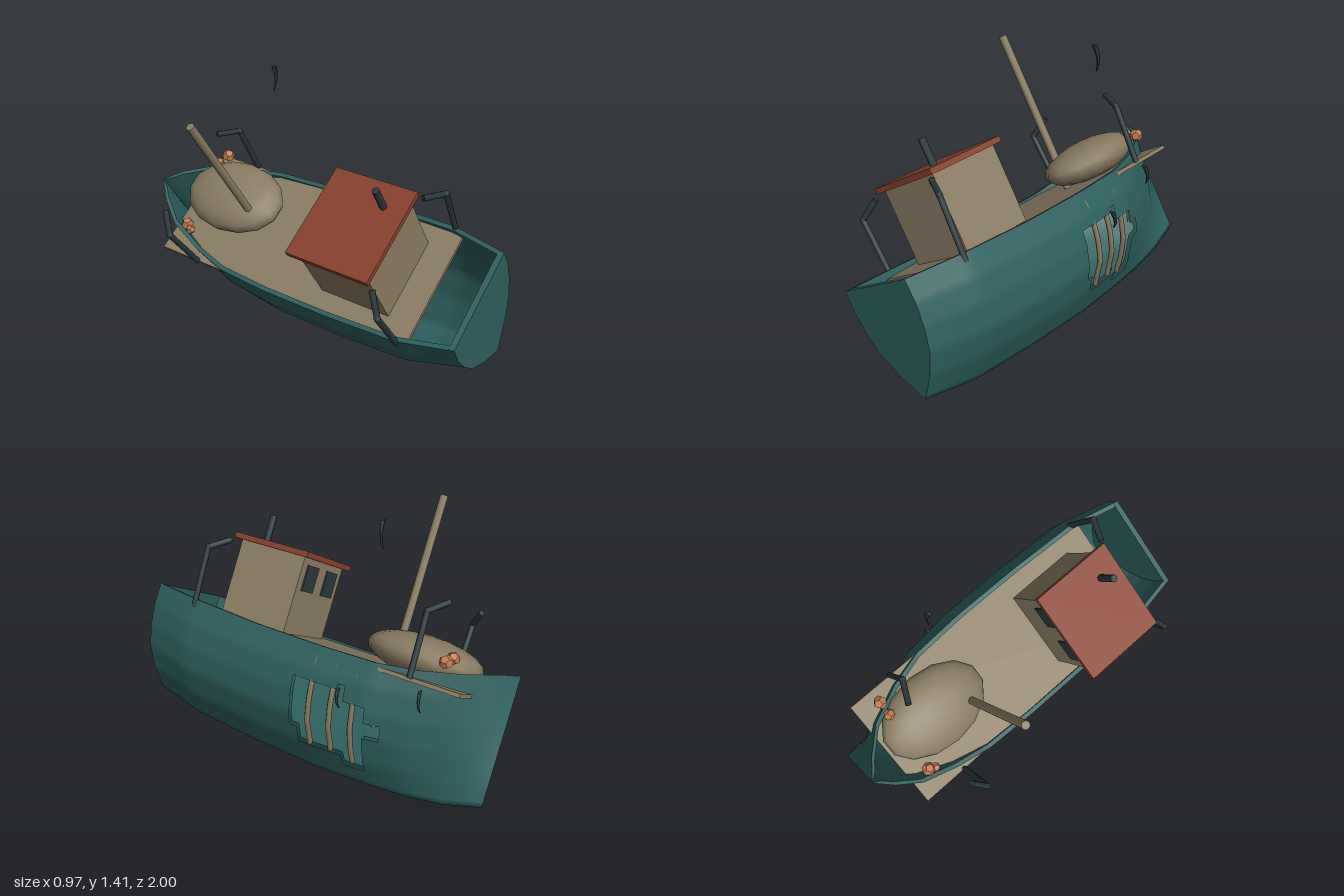
import * as THREE from 'three';

const mat = (name, color, side = THREE.FrontSide) => {
  const m = new THREE.MeshStandardMaterial({ color, side });
  m.name = name;
  return m;
};

// hull stations: z, half width, keel height, gunwale height, bow sharpness
const STATIONS = [
  [-1, 0.004, -0.092, 0.572, 1], [-0.92, 0.1, -0.115, 0.55, 1], [-0.8, 0.205, -0.15, 0.51, 0.9],
  [-0.6, 0.285, -0.18, 0.465, 0.5], [-0.4, 0.335, -0.195, 0.44, 0.2], [-0.1, 0.35, -0.207, 0.435, 0],
  [0.3, 0.35, -0.195, 0.44, 0], [0.7, 0.34, -0.17, 0.46, 0], [1, 0.278, -0.107, 0.478, 0.15],
];
// half-section width at equal height steps, keel to gunwale
const FULL = [0, 0.5, 0.83, 0.98, 1.04, 1];
const SHARP = [0, 0.25, 0.5, 0.72, 0.88, 1];
const TILT = 0.576, OX = 0.27, OY = 0.175;

function station(z) {
  let i = 0;
  while (i < STATIONS.length - 2 && z > STATIONS[i + 1][0]) i++;
  const a = STATIONS[i], b = STATIONS[i + 1], k = (z - a[0]) / (b[0] - a[0]);
  return a.map((v, j) => v + (b[j] - v) * k);
}

// point on the hull; s runs -1 (right gunwale) .. 0 (keel) .. 1 (left gunwale)
function hullPoint(z, s, inset = 0) {
  const [, w, keel, gun, sharp] = station(z);
  const f = Math.abs(s) * 5, i = Math.min(4, Math.floor(f)), k = f - i;
  const full = FULL[i] + (FULL[i + 1] - FULL[i]) * k;
  const thin = SHARP[i] + (SHARP[i + 1] - SHARP[i]) * k;
  const half = Math.max(w - inset, 0) * (full + (thin - full) * sharp);
  const low = keel + inset;
  return new THREE.Vector3(Math.sign(s) * half, low + (gun - low) * Math.abs(s), z);
}

// stepped breach in the left side
function inHole(p) {
  const y = OY + p.x * Math.sin(TILT) + p.y * Math.cos(TILT), z = p.z;
  if (p.x < 0.1 || z > 0 || z < -0.46) return false;
  if (z > -0.06) return y > 0.3 && y < 0.59;
  if (z > -0.28) return y > 0.2 && y < 0.59;
  if (z > -0.4) return y > 0.11 && y < 0.53;
  return y > 0.37 && y < 0.45;
}

// outer shell, inner shell and the rim between them
function hullGeometry() {
  const NZ = 50, NS = 50, pos = [], idx = [];
  const row = NS + 1, shell = row * (NZ + 1);
  for (const inset of [0, 0.025])
    for (let i = 0; i <= NZ; i++)
      for (let j = 0; j <= NS; j++) pos.push(...hullPoint(-1 + (2 * i) / NZ, -1 + (2 * j) / NS, inset).toArray());
  for (let i = 0; i < NZ; i++) {
    for (let j = 0; j < NS; j++) {
      if (inHole(hullPoint(-1 + (2 * i + 1) / NZ, -1 + (2 * j + 1) / NS))) continue;
      const a = i * row + j, b = a + 1, c = a + row, d = c + 1;
      idx.push(a, b, c, b, d, c);
      idx.push(shell + a, shell + c, shell + b, shell + b, shell + c, shell + d);
    }
  }
  // rim has its own vertices so the edge stays crisp
  for (const s of [-1, 1])
    for (let i = 0; i <= NZ; i++) {
      const z = -1 + (2 * i) / NZ, n = pos.length / 3;
      pos.push(...hullPoint(z, s).toArray(), ...hullPoint(z, s, 0.025).toArray());
      if (i < NZ) s > 0 ? idx.push(n, n + 1, n + 2, n + 1, n + 3, n + 2) : idx.push(n, n + 2, n + 1, n + 1, n + 2, n + 3);
    }
  const g = new THREE.BufferGeometry();
  g.setAttribute('position', new THREE.Float32BufferAttribute(pos, 3));
  g.setIndex(idx);
  g.computeVertexNormals();
  return g;
}

export function createModel() {
  const teal = mat('hull teal', 0x2c5f5d, THREE.DoubleSide);
  const tan = mat('weathered wood', 0x8a7c62);
  const red = mat('roof red', 0x87402c);
  const dark = mat('dark iron', 0x29383b);
  const coral = mat('coral orange', 0xc27a50);

  const root = new THREE.Group();
  root.name = 'shipwreck';
  const boat = new THREE.Group();
  boat.name = 'tiltedBoat';
  boat.position.set(OX, OY, 0);
  boat.rotation.z = TILT;
  root.add(boat);

  const add = (parent, name, geo, material, x = 0, y = 0, z = 0) => {
    const m = new THREE.Mesh(geo, material);
    m.name = name;
    m.position.set(x, y, z);
    parent.add(m);
    return m;
  };
  // square bar between two points
  const bar = (parent, name, a, b, r, material, sides = 6) => {
    const dir = b.clone().sub(a), mid = a.clone().add(b).multiplyScalar(0.5);
    const m = add(parent, name, new THREE.CylinderGeometry(r, r, dir.length(), sides), material, mid.x, mid.y, mid.z);
    m.quaternion.setFromUnitVectors(new THREE.Vector3(0, 1, 0), dir.normalize());
  };
  const V = (x, y, z) => new THREE.Vector3(x, y, z);

  // hull and flat stern
  add(boat, 'hull', hullGeometry(), teal);
  const outline = [];
  for (let j = 0; j <= 30; j++) {
    const p = hullPoint(1, -1 + j / 15);
    outline.push(new THREE.Vector2(p.x, p.y));
  }
  add(boat, 'transom', new THREE.ExtrudeGeometry(new THREE.Shape(outline), { depth: 0.03, bevelEnabled: false }), teal, 0, 0, 0.97);

  // deck, its corners break through the bow
  add(boat, 'deck', new THREE.BoxGeometry(0.664, 0.02, 1.59), tan, 0, 0.415, -0.045);

  // ribs showing in the breach
  for (const [z, s0, s1] of [[-0.1, 0.2, 0.93], [-0.215, 0.2, 0.93], [-0.33, 0.15, 0.9], [-0.445, 0.5, 0.75]]) {
    const pts = [];
    for (let k = 0; k <= 8; k++) pts.push(hullPoint(z, s0 + ((s1 - s0) * k) / 8, 0.014));
    add(boat, 'rib', new THREE.TubeGeometry(new THREE.CatmullRomCurve3(pts), 16, 0.015, 5), tan);
  }

  // cabin, roof, windows and stack
  add(boat, 'cabin', new THREE.BoxGeometry(0.444, 0.42, 0.4), tan, 0, 0.63, 0.4);
  add(boat, 'roof', new THREE.BoxGeometry(0.516, 0.03, 0.46), red, 0, 0.85, 0.4);
  for (const s of [-1, 1]) add(boat, 'window', new THREE.BoxGeometry(0.12, 0.14, 0.009), dark, s * 0.11, 0.73, 0.196);
  bar(boat, 'stack', V(0.129, 0.85, 0.51), V(0.129, 1.007, 0.51), 0.019, dark, 8);

  // mast
  bar(boat, 'mast', V(-0.005, 0.42, -0.352), V(-0.005, 1.335, -0.352), 0.022, tan, 8);

  // four bent davits
  for (const s of [-1, 1])
    for (const z of [0.705, -0.58]) {
      const foot = V(s * 0.332, 0.42, z), elbow = V(s * 0.356, 0.745, z), tip = V(s * 0.26, 0.815, z - 0.06);
      bar(boat, 'davitPost', foot, elbow, 0.016, dark);
      bar(boat, 'davitArm', elbow, tip, 0.016, dark);
      add(boat, 'davitElbow', new THREE.IcosahedronGeometry(0.017, 1), dark, elbow.x, elbow.y, elbow.z);
    }

  // sand mound on the bow
  const mound = add(root, 'mound', new THREE.SphereGeometry(1, 14, 10), tan, 0.04, 0.65, -0.525);
  mound.scale.set(0.215, 0.11, 0.31);
  mound.rotation.z = TILT;

  // coral lumps
  const lump = coral.clone();
  lump.flatShading = true;
  [[0.215, 0.785, -0.715, 0.036], [0.14, 0.765, -0.72, 0.032], [-0.14, 0.49, -0.735, 0.036], [-0.155, 0.47, -0.7, 0.026]]
    .forEach(([x, y, z, r], i) => {
      add(root, 'coral', new THREE.DodecahedronGeometry(r), lump, x, y, z).rotation.set(i, i * 2, 0.4);
    });

  // curved hanging fragments
  for (const [x, y, z, h] of [[0.195, 1.34, -0.35, 0.14], [0.345, 0.605, -0.65, 0.11], [0.43, 0.53, -0.255, 0.1]]) {
    const g = new THREE.CylinderGeometry(0.018, 0.004, h, 6, 6);
    const p = g.attributes.position;
    for (let i = 0; i < p.count; i++) {
      const k = p.getY(i) / h;
      p.setX(i, p.getX(i) + 0.018 * (1 - 4 * k * k) - k * 0.01);
      p.setZ(i, p.getZ(i) * 0.5 + k * 0.01);
    }
    g.computeVertexNormals();
    add(root, 'hangingFragment', g, dark, x - 0.008, y, z);
  }
  return root;
}
